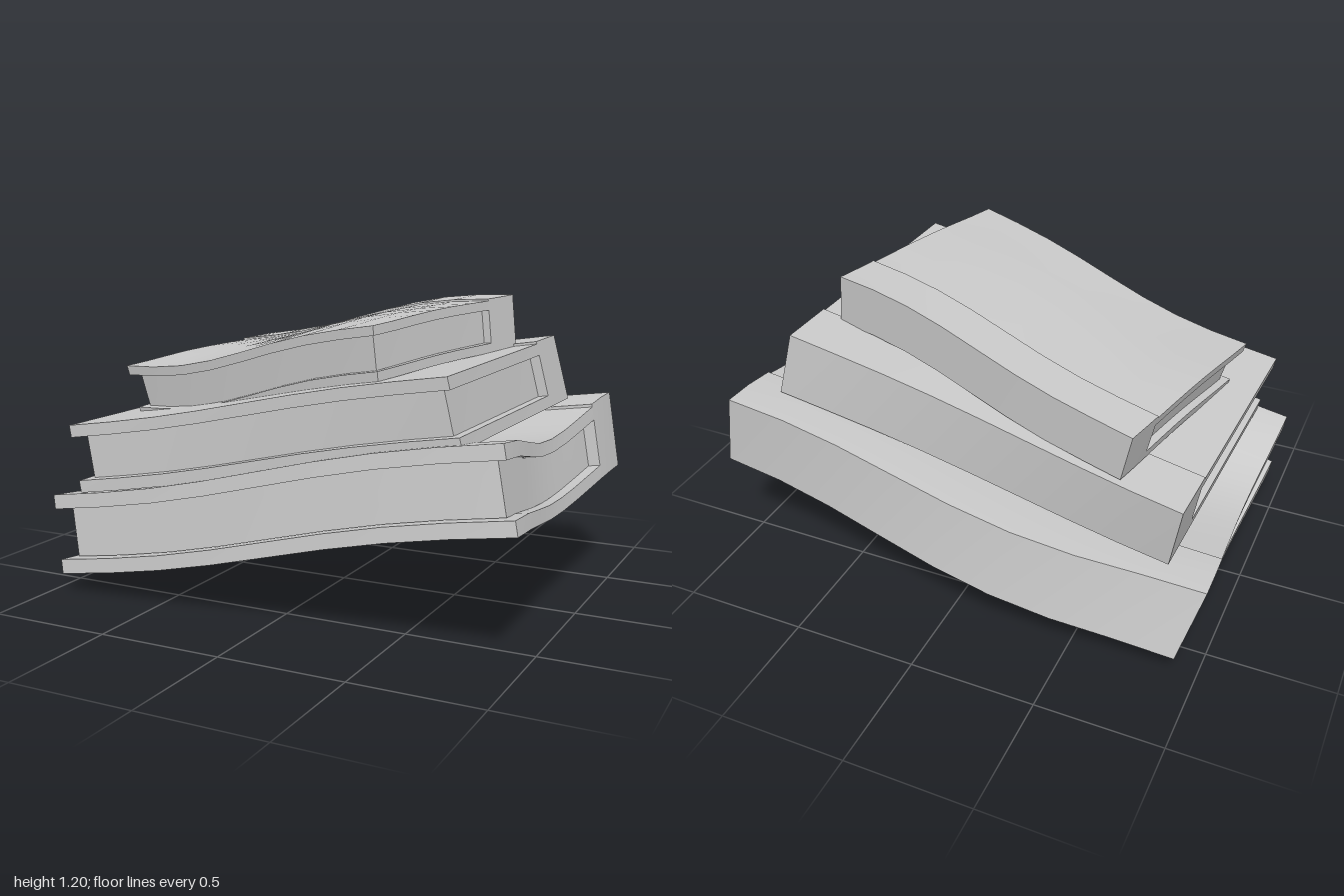
import * as THREE from 'three';
import { toCreasedNormals } from 'three/addons/utils/BufferGeometryUtils.js';

// Each book: corners [left, right] for bottom/top and front/back edges, plus bend amounts.
const BOOKS = [
  { name: 'bottomBook', sag: 0.085, wave: 0.018, arch: 0, bulge: 0.078, pinch: 0.03, hinge: -0.63,
    bottomFront: [[-0.95, 0.08, 0.67], [1, 0.5, 0.745]], bottomBack: [[-0.92, 0.1, -0.67], [0.985, 0.46, -0.67]],
    topFront: [[-1, 0.4, 0.645], [0.93, 0.8, 0.705]], topBack: [[-1, 0.385, -0.61], [0.93, 0.757, -0.69]] },
  { name: 'middleBook', sag: 0, wave: 0.01, arch: 0, bulge: -0.015, pinch: 0, hinge: -0.6,
    bottomFront: [[-0.87, 0.42, 0.63], [0.77, 0.75, 0.66]], bottomBack: [[-0.84, 0.44, -0.56], [0.79, 0.755, -0.54]],
    topFront: [[-0.925, 0.69, 0.62], [0.715, 1, 0.67]], topBack: [[-0.885, 0.7, -0.595], [0.725, 1.01, -0.53]] },
  { name: 'topBook', sag: -0.01, wave: 0.02, arch: 0.02, bulge: 0.012, pinch: 0, hinge: -0.6,
    bottomFront: [[-0.79, 0.69, 0.315], [0.43, 0.955, 0.6]], bottomBack: [[-0.64, 0.76, -0.56], [0.63, 0.99, -0.31]],
    topFront: [[-0.85, 0.9, 0.325], [0.41, 1.15, 0.603]], topBack: [[-0.68, 0.95, -0.575], [0.605, 1.192, -0.325]] },
];
const BOARD = 0.18;   // cover board thickness as a share of book height
const RAISE = 0.04;   // spine stands slightly above the front board

const edge = ([a, b], u) => new THREE.Vector3(...a).lerp(new THREE.Vector3(...b), (u + 1) / 2);

// Places a point: u left to right (-1..1), v bottom to top (0..1), w back to front (-1..1)
function place(book, u, v, w) {
  const t = (w + 1) / 2;
  const low = edge(book.bottomBack, u).lerp(edge(book.bottomFront, u), t);
  const high = edge(book.topBack, u).lerp(edge(book.topFront, u), t);
  const p = low.lerp(high, v);
  const d = w - 0.12;
  const dip = (1 + Math.cos(Math.PI * d / (d > 0 ? 0.88 : 1.12))) / 2;
  const sag = book.sag * (1 - 0.2 * (1 - v) * (u + 1));   // the lower right end sags less
  p.y += book.wave * Math.sin(Math.PI * u) - sag * dip - book.arch * w * (1 - u * u);
  p.x -= book.pinch * u * dip;
  p.z -= book.bulge * (1 - t) * (1 - u * u) ** 2 * (1 - 0.6 * u);
  return p;
}

// A slab of the book between two heights and two depths, bent with the book
function slab(book, name, halfWidth, [v0, v1], [w0, w1], material) {
  const depthSegments = Math.ceil((w1 - w0) / 0.27);
  const g = new THREE.BoxGeometry(2 * halfWidth, v1 - v0, w1 - w0, 8, 1, depthSegments);
  g.translate(0, (v0 + v1) / 2, (w0 + w1) / 2);
  const pos = g.attributes.position;
  for (let i = 0; i < pos.count; i++) {
    const p = place(book, pos.getX(i), pos.getY(i), pos.getZ(i));
    pos.setXYZ(i, p.x, p.y, p.z);
  }
  const mesh = new THREE.Mesh(toCreasedNormals(g, 0.6), material);
  mesh.name = name;
  return mesh;
}

export function createModel() {
  const group = new THREE.Group();
  group.name = 'bookStack';
  const material = new THREE.MeshStandardMaterial({ color: 0xcccccc });
  for (const book of BOOKS) {
    const g = new THREE.Group();
    g.name = book.name;
    g.add(
      slab(book, 'spine', 1, [0, 1 + RAISE], [-1, book.hinge], material),
      slab(book, 'bottomBoard', 1, [0, BOARD], [book.hinge, 1], material),
      slab(book, 'topBoard', 1, [1 - BOARD, 1], [book.hinge, 1], material),
      // page block, inset on its three open sides
      slab(book, 'pages', 0.95, [BOARD, 1 - BOARD], [book.hinge, 0.92], material),
    );
    group.add(g);
  }
  return group;
}
